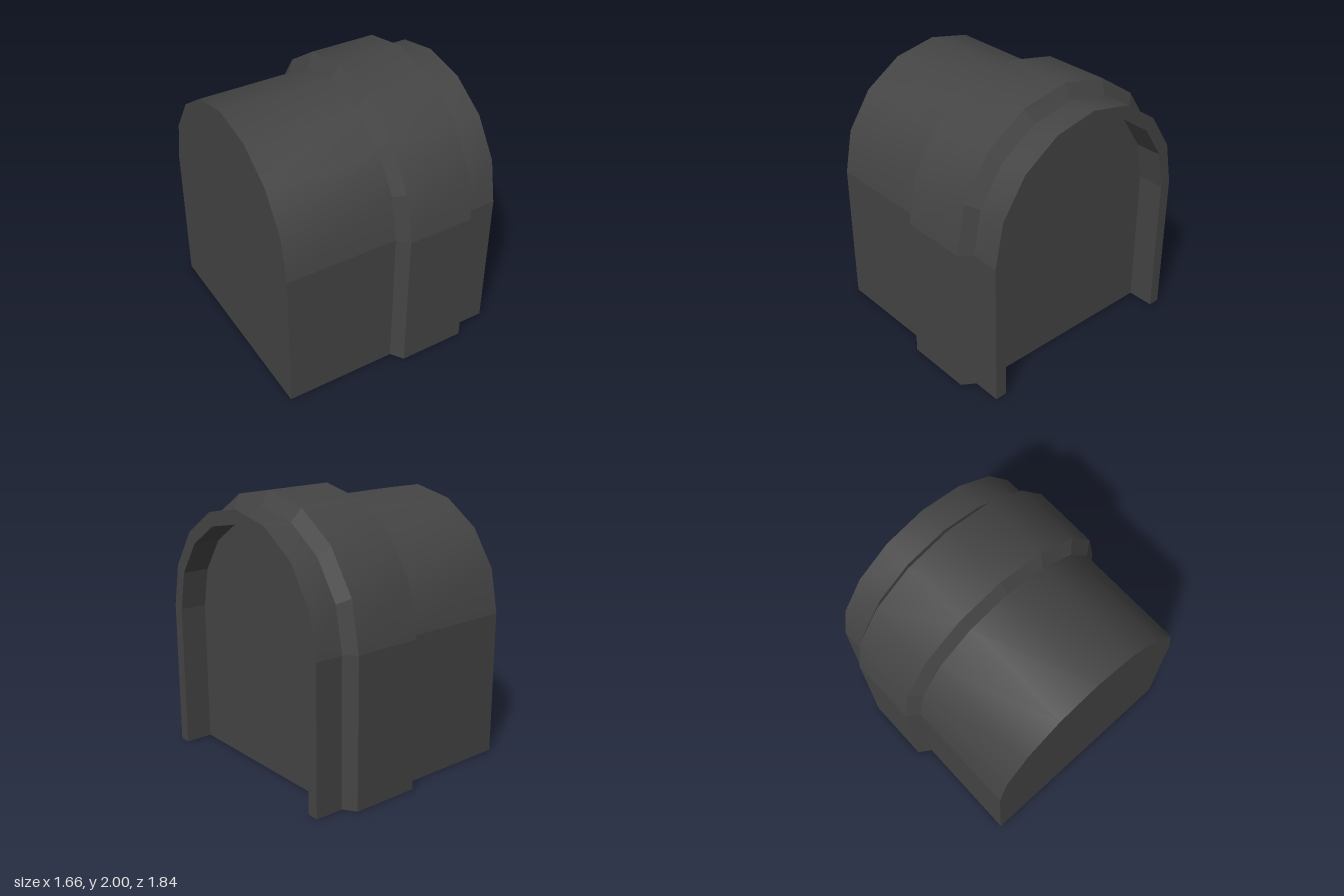
import * as THREE from 'three';

const material = new THREE.MeshStandardMaterial({ color: 0x444444, side: THREE.DoubleSide });
const flatMaterial = material.clone();
flatMaterial.flatShading = true;

const ARC_STEPS = 8;
// Arch outlines: half-width and height where the curve begins
const BODY = { r: 0.83, spring: 1.07 };
const BAND = { r: 0.92, spring: 1.08 };
const OPENING = { r: 0.745, spring: 1.055 };

// Arch outline as [z, y] points, from the front foot over the top to the back foot
function archPoints({ r, spring }) {
  const points = [[r, 0]];
  for (let i = 0; i <= ARC_STEPS; i++) {
    const a = (i / ARC_STEPS) * Math.PI;
    points.push([r * Math.cos(a), spring + r * Math.sin(a)]);
  }
  points.push([-r, 0]);
  return points;
}

// Surface between two arches, covering outline points first..last
function strip(archA, xA, archB, xB, first, last) {
  const a = archPoints(archA), b = archPoints(archB);
  const positions = [], index = [];
  for (let i = first; i <= last; i++) {
    positions.push(xA, a[i][1], a[i][0], xB, b[i][1], b[i][0]);
    if (i < last) {
      const k = (i - first) * 2;
      index.push(k, k + 1, k + 3, k, k + 3, k + 2);
    }
  }
  const geometry = new THREE.BufferGeometry();
  geometry.setAttribute('position', new THREE.Float32BufferAttribute(positions, 3));
  geometry.setIndex(index);
  geometry.computeVertexNormals();
  return geometry;
}

// Straight walls with a smooth vault above them
function vault(name, arch, x0, x1) {
  const group = new THREE.Group();
  group.name = name;
  const end = ARC_STEPS + 1;
  for (const [first, last] of [[0, 1], [1, end], [end, end + 1]]) {
    const mesh = new THREE.Mesh(strip(arch, x0, arch, x1, first, last), material);
    mesh.name = first === 1 ? 'vaultRoof' : 'vaultWall';
    group.add(mesh);
  }
  return group;
}

// Faceted ring joining two arches
function ring(name, archA, xA, archB, xB) {
  const mesh = new THREE.Mesh(strip(archA, xA, archB, xB, 0, ARC_STEPS + 2), flatMaterial);
  mesh.name = name;
  return mesh;
}

// Flat arch-shaped wall facing along x
function endWall(name, arch, x, facing) {
  const shape = new THREE.Shape(archPoints(arch).map(([z, y]) => new THREE.Vector2(z, y)));
  const geometry = new THREE.ShapeGeometry(shape);
  geometry.rotateY(facing * Math.PI / 2);
  geometry.translate(x, 0, 0);
  const mesh = new THREE.Mesh(geometry, material);
  mesh.name = name;
  return mesh;
}

export function createModel() {
  const model = new THREE.Group();
  model.name = 'archedShell';
  model.add(
    // Outer shell, open underneath
    endWall('closedEnd', BODY, -0.83, -1),
    vault('longVault', BODY, -0.83, 0),
    ring('bandInnerBevel', BODY, 0, BAND, 0.06),
    vault('raisedBand', BAND, 0.06, 0.56),
    ring('bandOuterBevel', BAND, 0.56, BODY, 0.62),
    vault('shortVault', BODY, 0.62, 0.83),
    // Recessed doorway
    ring('doorRim', BODY, 0.83, OPENING, 0.83),
    ring('doorJamb', OPENING, 0.83, OPENING, 0.63),
    endWall('doorPanel', OPENING, 0.63, 1),
  );
  return model;
}
